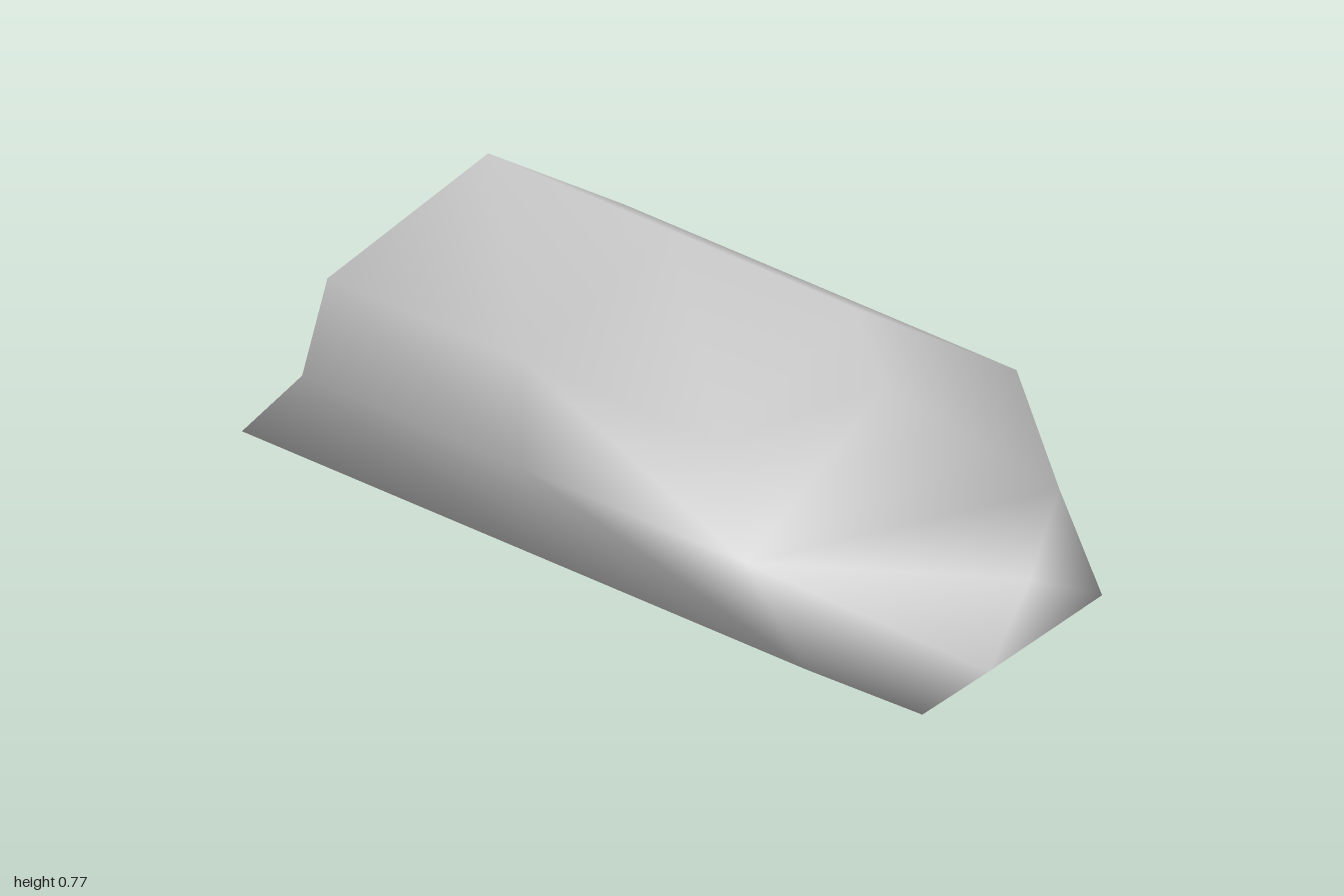
import * as THREE from 'three';

// One end ring of the six-sided bar as [x, y, z], counterclockwise seen from +x
const RING = [
  [0.58, 0.77, 0],       // 0 ridge
  [0.62, 0.58, 0.36],    // 1 front upper
  [0.70, 0.36, 0.36],    // 2 front middle
  [0.89, 0.195, 0.36],   // 3 front lower
  [0.79, 0, 0],          // 4 keel
  [0.89, 0.195, -0.36],  // 5 back lower
  [0.755, 0.375, -0.36], // 6 back middle
  [0.62, 0.58, -0.36],   // 7 back upper
];
// Points inside the end: 8 shoulder, 9 tip, 10 hollow
const INNER = [[0.672, 0.638, 0], [1, 0.145, 0], [0.845, 0.245, -0.22]];
const CAP = [
  [0, 1, 8], [8, 1, 2], [8, 2, 6], [8, 6, 7], [8, 7, 0], [2, 10, 6],
  [2, 9, 10], [10, 9, 5], [10, 5, 6], [2, 3, 9], [3, 4, 9], [9, 4, 5],
];

function bodyGeometry() {
  const n = RING.length, end = [...RING, ...INNER], m = end.length;
  const pos = [], index = [];
  // Right end, left end, then the middle ring with its keel slightly raised
  for (const side of [1, -1]) {
    end.forEach(([x, y, z]) => pos.push(side * x, y, z));
  }
  RING.forEach(([, y, z]) => pos.push(0, Math.max(y, 0.015), z));

  // Long sides
  for (const [a, b] of [[m, 2 * m], [2 * m, 0]]) {
    for (let i = 0; i < n; i++) {
      const j = (i + 1) % n;
      index.push(a + i, a + j, b + j, a + i, b + j, b + i);
    }
  }
  // Faceted ends, mirrored
  for (const [a, b, c] of CAP) {
    index.push(a, b, c, m + a, m + c, m + b);
  }
  const geometry = new THREE.BufferGeometry();
  geometry.setAttribute('position', new THREE.Float32BufferAttribute(pos, 3));
  geometry.setIndex(index);
  geometry.computeVertexNormals();
  return geometry;
}

export function createModel() {
  const group = new THREE.Group();
  const gray = new THREE.MeshStandardMaterial({ color: 0xcccccc });
  gray.name = 'light gray';
  const body = new THREE.Mesh(bodyGeometry(), gray);
  body.name = 'body';
  group.add(body);
  return group;
}
